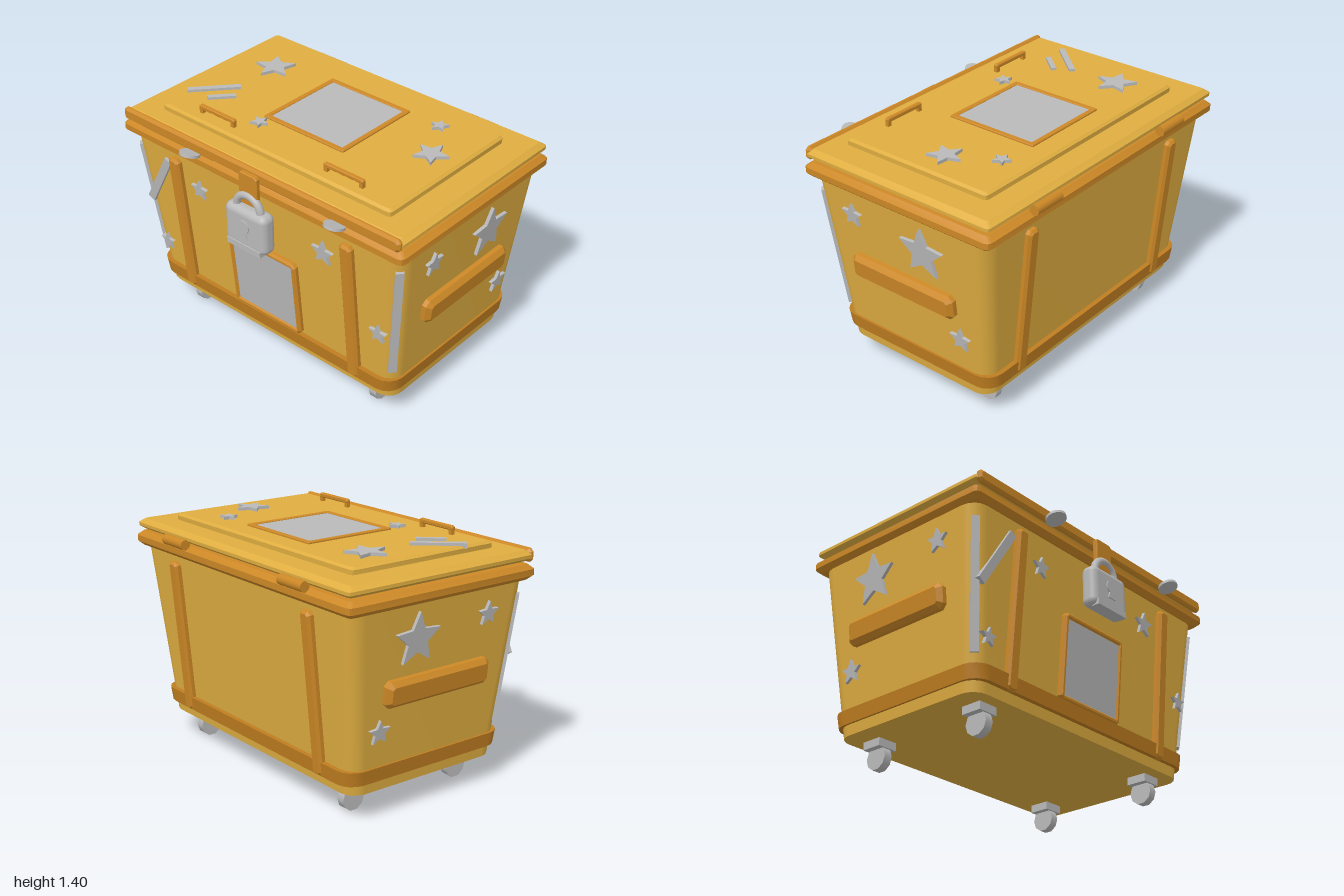
import * as THREE from 'three';
import { toCreasedNormals } from 'three/addons/utils/BufferGeometryUtils.js';
import { RoundedBoxGeometry } from 'three/addons/geometries/RoundedBoxGeometry.js';

function material(name, color) {
  const m = new THREE.MeshStandardMaterial({ color });
  m.name = name;
  return m;
}

// Stack of rounded rectangles [halfX, halfZ, cornerRadius, y], closed at both ends
function loft(rings, seg = 4) {
  const pos = [], idx = [];
  const n = 4 * (seg + 1);
  const addRing = ([hx, hz, r, y]) => {
    const start = pos.length / 3;
    for (let q = 0; q < 4; q++) {
      const sx = q === 0 || q === 3 ? 1 : -1, sz = q < 2 ? 1 : -1;
      for (let k = 0; k <= seg; k++) {
        const a = (q + k / seg) * Math.PI / 2;
        pos.push(sx * (hx - r) + r * Math.cos(a), y, sz * (hz - r) + r * Math.sin(a));
      }
    }
    return start;
  };
  const starts = rings.map(addRing);
  for (let j = 0; j + 1 < starts.length; j++) {
    for (let i = 0; i < n; i++) {
      const a = starts[j] + i, a1 = starts[j] + (i + 1) % n;
      const b = starts[j + 1] + i, b1 = starts[j + 1] + (i + 1) % n;
      idx.push(a, b, b1, a, b1, a1);
    }
  }
  for (const top of [false, true]) {
    const ring = top ? rings[rings.length - 1] : rings[0];
    const s = addRing(ring), c = pos.length / 3;
    pos.push(0, ring[3], 0);
    for (let i = 0; i < n; i++) {
      const p = s + i, q = s + (i + 1) % n;
      if (top) idx.push(c, q, p); else idx.push(c, p, q);
    }
  }
  const g = new THREE.BufferGeometry();
  g.setAttribute('position', new THREE.Float32BufferAttribute(pos, 3));
  g.setIndex(idx);
  g.computeVertexNormals();
  return g;
}

// Bevelled plate with clipped corners and an optional square opening
function plate(w, h, d, b, cut = 0.01, border = 0) {
  const x = w / 2 - b, y = h / 2 - b, c = cut;
  const pts = [[x, y - c], [x - c, y], [c - x, y], [-x, y - c], [-x, c - y], [c - x, -y], [x - c, -y], [x, c - y]];
  const shape = new THREE.Shape(pts.map(p => new THREE.Vector2(...p)));
  if (border) {
    const hx = w / 2 - border + b, hy = h / 2 - border + b;
    shape.holes.push(new THREE.Path([[-hx, -hy], [-hx, hy], [hx, hy], [hx, -hy]].map(p => new THREE.Vector2(...p))));
  }
  const g = new THREE.ExtrudeGeometry(shape, { depth: d - 2 * b, bevelEnabled: true, bevelSize: b, bevelThickness: b, bevelSegments: 1 });
  return g.translate(0, 0, b - d / 2);
}

function starGeometry(r) {
  const shape = new THREE.Shape();
  for (let i = 0; i < 10; i++) {
    const a = Math.PI / 2 + i * Math.PI / 5, q = i % 2 ? r * 0.45 : r;
    if (i) shape.lineTo(q * Math.cos(a), q * Math.sin(a)); else shape.moveTo(0, r);
  }
  return new THREE.ExtrudeGeometry(shape, { depth: 0.03, bevelEnabled: false }).translate(0, 0, -0.015);
}

export function createModel() {
  const gold = material('gold', 0xdfad40);
  const amber = material('amber', 0xcc8826);
  const darkAmber = material('darkAmber', 0xbf7d20);
  const silver = material('silver', 0xb9b9b9);
  const root = new THREE.Group();
  root.name = 'chest';

  const add = (name, geo, mat, x = 0, y = 0, z = 0, parent = root) => {
    const m = new THREE.Mesh(geo, mat);
    m.name = name;
    m.position.set(x, y, z);
    parent.add(m);
    return m;
  };
  const box = (w, h, d) => new THREE.BoxGeometry(w, h, d);
  const ZC = -0.03;

  // Tapered box, base band, rim, lid and raised lid panel
  add('body', loft([[0.86, 0.5, 0.09, 0.16], [0.97, 0.59, 0.09, 1.17]]), gold, 0, 0, ZC);
  add('baseBand', loft([[0.878, 0.532, 0.1, 0.22], [0.888, 0.54, 0.1, 0.3]]), darkAmber, 0, 0, ZC);
  const creased = rings => toCreasedNormals(loft(rings, 2), 0.5);
  add('rim', creased([[0.97, 0.6, 0.02, 1.155], [0.998, 0.63, 0.03, 1.18], [0.998, 0.63, 0.03, 1.215], [0.97, 0.6, 0.02, 1.24]]), amber, 0, 0, ZC);
  add('lid', creased([[0.955, 0.59, 0.015, 1.252], [0.985, 0.62, 0.02, 1.272], [0.985, 0.62, 0.02, 1.29], [0.955, 0.59, 0.015, 1.313]]), gold, 0, 0, ZC);
  add('lidPanel', creased([[0.81, 0.477, 0.02, 1.3], [0.81, 0.477, 0.02, 1.338], [0.795, 0.462, 0.015, 1.35]]), gold, 0, 0, -0.015);
  add('lidFrontBar', plate(1.96, 0.075, 0.04, 0.014, 0.01), amber, 0, 1.284, 0.584);

  // Each wall is a group lying on its sloping surface
  const wall = (name, turn, half, slope) => {
    const g = new THREE.Group();
    g.name = name;
    g.rotation.order = 'YXZ';
    g.rotation.set(Math.atan(slope), turn, 0);
    g.position.set(Math.sin(turn) * half, 0, Math.cos(turn) * half + ZC);
    root.add(g);
    return g;
  };
  const front = wall('frontWall', 0, 0.4856, 0.09);
  const back = wall('backWall', Math.PI, 0.4856, 0.09);
  const star = (x, y, r, parent, turn = 0) => {
    add('star', starGeometry(r), silver, x, y, 0.003, parent).rotation.z = turn;
  };
  const streak = (x, y, w, len, turn, parent) => {
    add('streak', box(w, len, 0.03), silver, x, y, 0, parent).rotation.z = turn;
  };

  for (const w of [front, back])
    for (const s of [-1, 1]) add('strap', plate(0.08, 0.905, 0.07, 0.014), amber, s * 0.62, 0.673, 0, w);

  // Front frame, stickers
  add('frontFrame', plate(0.5, 0.5, 0.06, 0.012, 0.015, 0.036), amber, 0, 0.552, 0, front);
  add('frontPane', box(0.44, 0.44, 0.03), silver, 0, 0.552, 0.006, front);
  star(-0.45, 0.98, 0.062, front);
  star(0.45, 0.985, 0.075, front);
  star(0.8, 0.62, 0.058, front);
  star(-0.8, 0.455, 0.053, front);
  streak(-0.785, 0.905, 0.05, 0.4, -0.53, front);

  for (const s of [-1, 1]) {
    // Side handle and stars
    const side = wall('sideWall', s * Math.PI / 2, 0.8424, 0.11);
    const u = z => -s * (z - ZC);
    add('sideHandle', plate(0.7, 0.145, 0.1, 0.025, 0.012), amber, u(-0.03), 0.707, 0, side);
    star(u(0.29), 1.025, 0.07, side);
    star(u(-0.19), 0.975, 0.15, side);
    star(u(-0.39), 0.503, 0.07, side);

    // Bar along the front corner
    const a = new THREE.Vector3(s * 0.858, 0.36, 0.464), b = new THREE.Vector3(s * 0.935, 1.08, 0.53);
    const dir = b.clone().sub(a);
    const bar = add('cornerBar', box(0.045, dir.length(), 0.02), silver);
    bar.position.copy(a).add(b).multiplyScalar(0.5);
    bar.quaternion.setFromUnitVectors(new THREE.Vector3(0, 1, 0), dir.normalize());
    bar.rotateY(s * Math.PI / 4);

    // Hinge barrel, lid handle and castors
    add('hinge', new THREE.CylinderGeometry(0.03, 0.03, 0.2, 12).rotateZ(Math.PI / 2), amber, s * 0.55, 1.25, -0.66);
    add('lidHandleBar', plate(0.265, 0.025, 0.026, 0.005, 0.004), amber, s * 0.45, 1.386, 0.387);
    for (const e of [-1, 1]) add('lidHandleLeg', box(0.024, 0.05, 0.022), amber, s * 0.45 + e * 0.118, 1.36, 0.387);
    for (const z of [0.335, -0.39]) {
      add('castorBracket', box(0.122, 0.05, 0.122), silver, s * 0.68, 0.14, z);
      add('castorWheel', new THREE.CylinderGeometry(0.07, 0.07, 0.05, 10).rotateZ(Math.PI / 2), silver, s * 0.68, 0.069, z);
    }
  }

  // Lid decorations
  const top = new THREE.Group();
  top.name = 'lidTop';
  top.rotation.x = -Math.PI / 2;
  top.position.y = 1.35;
  root.add(top);
  add('lidFrame', plate(0.565, 0.565, 0.03, 0.004, 0.002, 0.03), amber, 0, 0.078, -0.004, top);
  add('lidPane', box(0.515, 0.515, 0.02), silver, 0, 0.078, -0.005, top);
  star(-0.62, 0.245, 0.12, top, Math.PI);
  star(0.5, 0.335, 0.052, top, 2.9);
  star(0.64, 0.08, 0.1, top);
  star(-0.25, -0.27, 0.052, top, -0.1);
  streak(-0.705, -0.165, 0.035, 0.3, -0.72, top);
  streak(-0.605, -0.205, 0.03, 0.16, -0.72, top);

  // Discs under the lid's front edge
  for (const x of [-0.42, 0.6])
    add('disc', new THREE.CylinderGeometry(0.058, 0.058, 0.016, 16), silver, x, 1.26, 0.634).rotation.x = -0.28;

  // Hasp and padlock
  add('hasp', plate(0.13, 0.19, 0.03, 0.005), amber, 0, 1.205, 0.615);
  add('lockBody', new RoundedBoxGeometry(0.295, 0.245, 0.1, 4, 0.04), silver, 0, 0.975, 0.62);
  add('lockFoot', box(0.24, 0.035, 0.05), silver, 0, 0.868, 0.652);
  add('shackle', new THREE.TorusGeometry(0.085, 0.023, 10, 20, Math.PI), silver, 0, 1.085, 0.625);
  const key = new THREE.Shape();
  key.moveTo(0.03, 0.925).lineTo(0.018, 0.965);
  key.absarc(0, 0.997, 0.04, -1.1, Math.PI + 1.1, false);
  key.lineTo(-0.03, 0.925);
  add('keyhole', new THREE.ExtrudeGeometry(key, { depth: 0.009, bevelEnabled: false }), silver, 0, 0, 0.668);

  return root;
}
